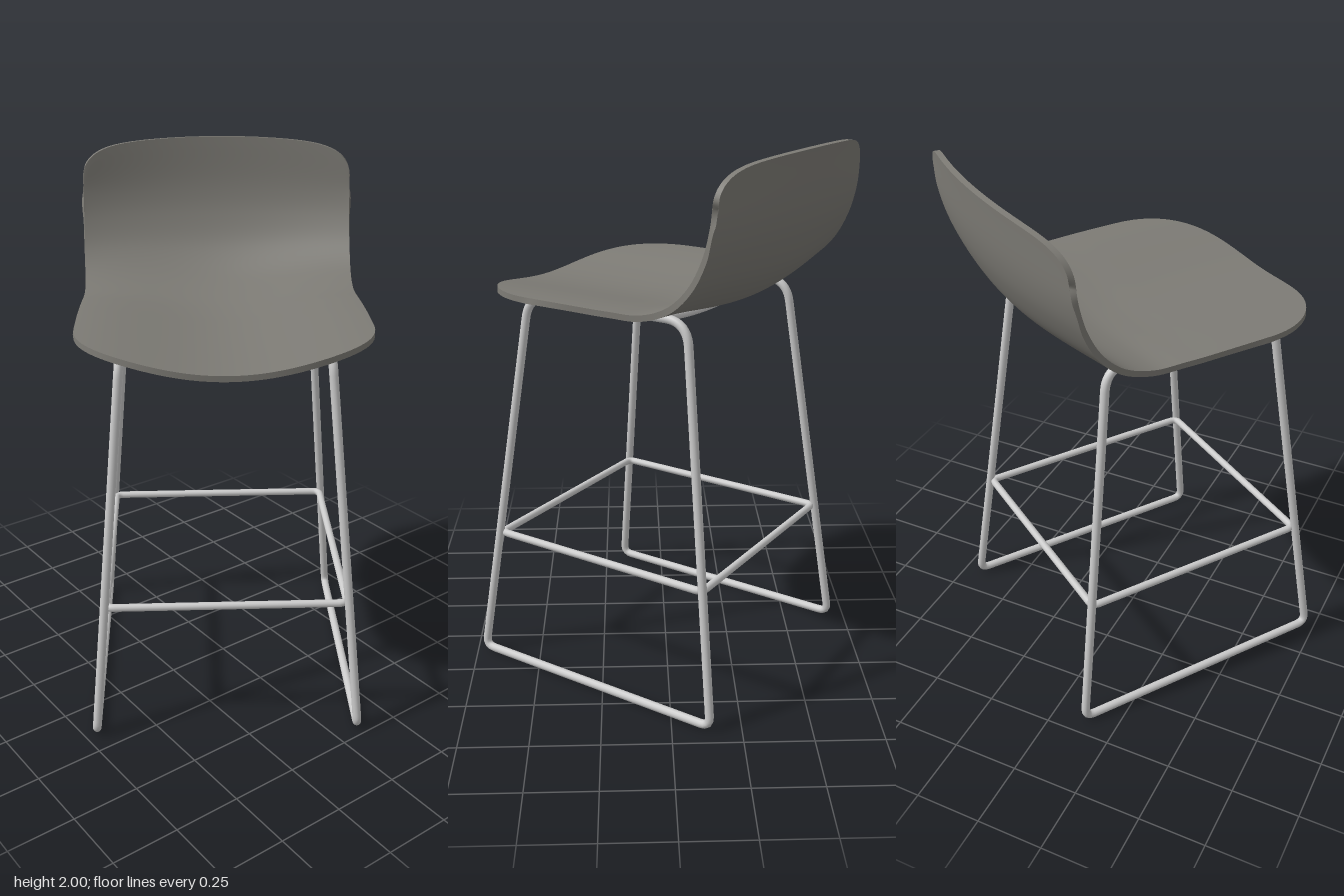
import * as THREE from 'three';
import { mergeGeometries } from 'three/addons/utils/BufferGeometryUtils.js';

const ROD = 0.016;
const V = (x, y, z) => new THREE.Vector3(x, y, z);

// Closed bent-rod loop: straight runs with a rounded bend at each corner
function rodLoop(corners, radii, rod) {
  const n = corners.length;
  const bends = corners.map((c, i) => {
    const toward = (p) => c.clone().add(p.clone().sub(c).setLength(radii[i]));
    return new THREE.QuadraticBezierCurve3(
      toward(corners[(i + n - 1) % n]), c, toward(corners[(i + 1) % n]));
  });
  const path = new THREE.CurvePath();
  path.arcLengthDivisions = 900;
  bends.forEach((bend, i) => {
    path.add(bend);
    path.add(new THREE.LineCurve3(bend.v2, bends[(i + 1) % n].v0));
  });
  return new THREE.TubeGeometry(path, 320, rod, 12, true);
}

// Lengthwise seat profile [z, y], front lip to top of back, at the middle and at the side
const MIDDLE = [[0.535, 1.434], [0.05, 1.431], [-0.12, 1.432], [-0.25, 1.446], [-0.39, 1.495],
  [-0.49, 1.585], [-0.55, 1.70], [-0.58, 1.81], [-0.598, 2.0]];
const SIDE = [[0.2, 1.488], [0.05, 1.487], [-0.12, 1.485], [-0.24, 1.488], [-0.35, 1.528],
  [-0.43, 1.602], [-0.483, 1.70], [-0.51, 1.80], [-0.518, 1.86]];

// One column of the shell; u runs from -1 to 1 across the seat
function seatColumn(u) {
  const a = Math.min(1, Math.abs(u));
  const dish = Math.sin(a * Math.PI / 2) ** 2;
  const pts = MIDDLE.map(([z, y], i) => V(0,
    THREE.MathUtils.lerp(y, SIDE[i][1], dish), THREE.MathUtils.lerp(z, SIDE[i][0], a * a)));
  // rounded front corners and rounded top corners
  pts[0].z = 0.2 + 0.335 * (1 - a ** 2.6) ** 0.4545;
  pts[pts.length - 1].y = 1.89 + 0.11 * Math.sqrt(1 - a ** 8) - 0.03 * a * a;
  return new THREE.CatmullRomCurve3(pts);
}

function seatShell(thickness) {
  const NX = 56, NV = 64, row = NV + 1;
  const pos = [], index = [];
  for (let i = 0; i <= NX; i++) {
    const u = Math.sin((i / NX - 0.5) * Math.PI);
    const curve = seatColumn(u);
    for (let j = 0; j <= NV; j++) {
      const p = curve.getPoint(j / NV);
      // slight waist where the seat turns up into the back
      const waist = Math.exp(-(((p.z + 0.24) / 0.17) ** 2));
      pos.push(u * (0.522 - 0.01 * waist), p.y, p.z);
    }
  }
  for (let i = 0; i < NX; i++) {
    for (let j = 0; j < NV; j++) {
      const a = i * row + j, b = a + row;
      index.push(a, b, b + 1, a, b + 1, a + 1);
    }
  }
  const make = (p, idx) => {
    const g = new THREE.BufferGeometry();
    g.setAttribute('position', new THREE.Float32BufferAttribute(p, 3));
    g.setIndex(idx);
    g.computeVertexNormals();
    return g;
  };
  const upper = make(pos, index);
  const nrm = upper.attributes.normal.array;
  const under = pos.map((v, i) => v - nrm[i] * thickness);
  const flipped = [];
  for (let i = 0; i < index.length; i += 3) flipped.push(index[i], index[i + 2], index[i + 1]);

  // rim joining the upper and under skins
  const loop = [];
  for (let i = 0; i < NX; i++) loop.push(i * row);
  for (let j = 0; j < NV; j++) loop.push(NX * row + j);
  for (let i = NX; i > 0; i--) loop.push(i * row + NV);
  for (let j = NV; j > 0; j--) loop.push(j);
  const rimPos = [], rimIdx = [], n = loop.length;
  loop.forEach((id, i) => {
    rimPos.push(...pos.slice(id * 3, id * 3 + 3), ...under.slice(id * 3, id * 3 + 3));
    const a = i * 2, b = ((i + 1) % n) * 2;
    rimIdx.push(a + 1, b + 1, b, a + 1, b, a);
  });
  return mergeGeometries([upper, make(under, flipped), make(rimPos, rimIdx)]);
}

export function createModel() {
  const steel = new THREE.MeshStandardMaterial({ color: 0xcccccc });
  const shell = new THREE.MeshStandardMaterial({ color: 0x7d7b75 });
  const stool = new THREE.Group();
  stool.name = 'barStool';
  const add = (name, geometry, material) => {
    const mesh = new THREE.Mesh(geometry, material);
    mesh.name = name;
    stool.add(mesh);
  };

  add('seatShell', seatShell(0.021), shell);

  // Sled legs: one closed loop on each side, leaning inward
  for (const s of [1, -1]) {
    add(s > 0 ? 'leftLegLoop' : 'rightLegLoop', rodLoop([
      V(s * 0.487, ROD, 0.517), V(s * 0.361, 1.445, 0.335),
      V(s * 0.361, 1.445, -0.335), V(s * 0.487, ROD, -0.517),
    ], [0.04, 0.085, 0.085, 0.04], ROD), steel);
  }

  // Footrest ring
  const fx = 0.437, fz = 0.448, fy = 0.51;
  add('footrestRing', rodLoop(
    [V(fx, fy, fz), V(fx, fy, -fz), V(-fx, fy, -fz), V(-fx, fy, fz)],
    [0.03, 0.03, 0.03, 0.03], 0.014), steel);

  // Sagging crossbars under the seat
  for (const z of [0.18, -0.22]) {
    const bar = new THREE.QuadraticBezierCurve3(V(-0.361, 1.442, z), V(0, 1.378, z), V(0.361, 1.442, z));
    add(z > 0 ? 'frontCrossbar' : 'rearCrossbar', new THREE.TubeGeometry(bar, 32, 0.013, 12), steel);
  }

  // The stool stands turned toward its right
  stool.rotation.y = -0.6;
  stool.position.set(-0.016, 0, 0.016);
  const model = new THREE.Group();
  model.name = 'stoolModel';
  model.add(stool);
  return model;
}
